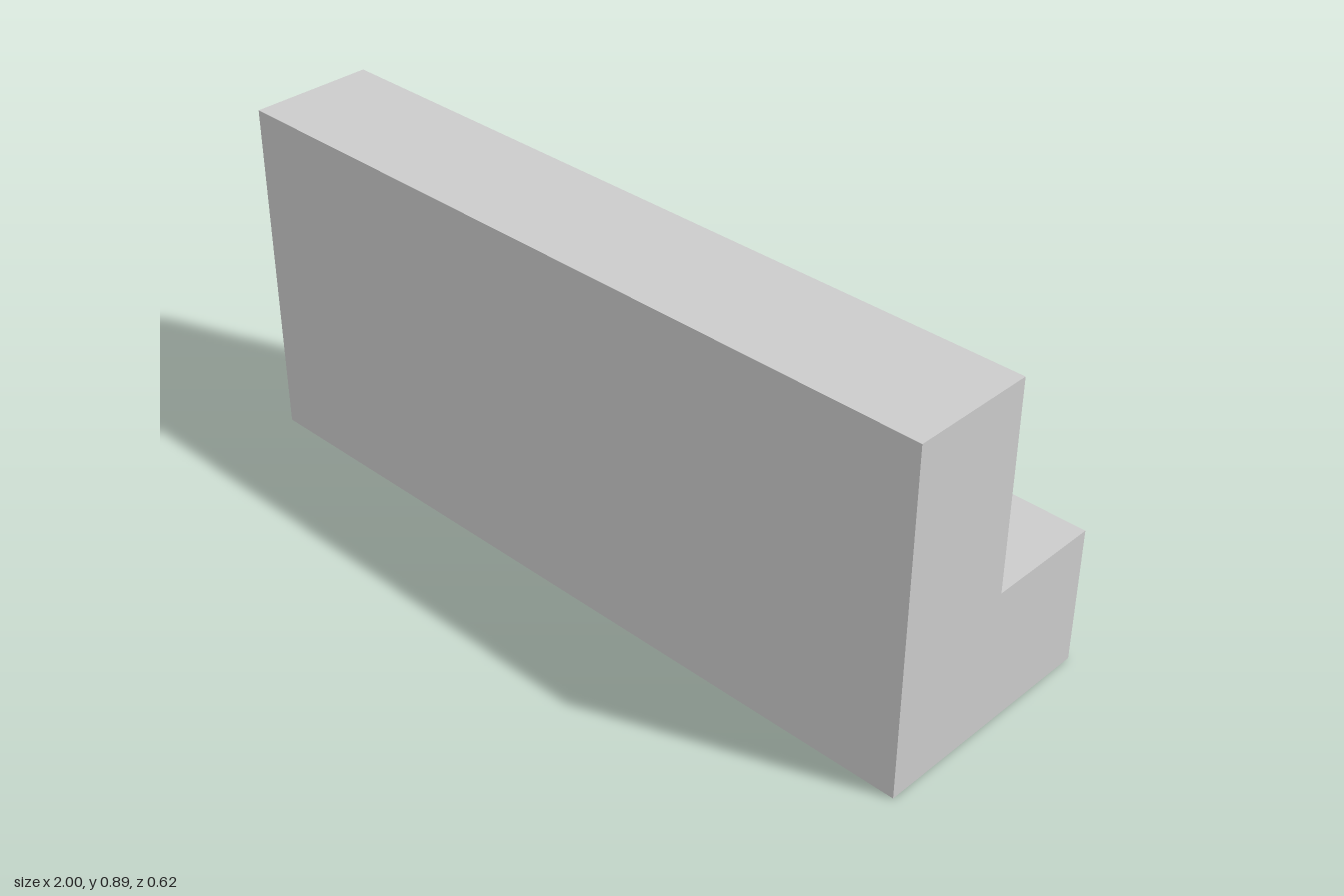
import * as THREE from 'three';

const LENGTH = 2;

// L-shaped cross-section as [z, y]: tall wall at the front, low step behind
const PROFILE = [
  [-0.31, 0], [0.31, 0], [0.31, 0.888],
  [-0.01, 0.888], [-0.01, 0.355], [-0.31, 0.355],
];

export function createModel() {
  const group = new THREE.Group();
  group.name = 'steppedWall';

  const shape = new THREE.Shape(PROFILE.map(([z, y]) => new THREE.Vector2(z, y)));
  const geometry = new THREE.ExtrudeGeometry(shape, { depth: LENGTH, bevelEnabled: false });
  // Centre the length, then turn it to run along x
  geometry.translate(0, 0, -LENGTH / 2);
  geometry.rotateY(-Math.PI / 2);

  const material = new THREE.MeshStandardMaterial({ color: 0xcccccc, flatShading: true });
  const block = new THREE.Mesh(geometry, material);
  block.name = 'wallWithStep';
  group.add(block);
  return group;
}
